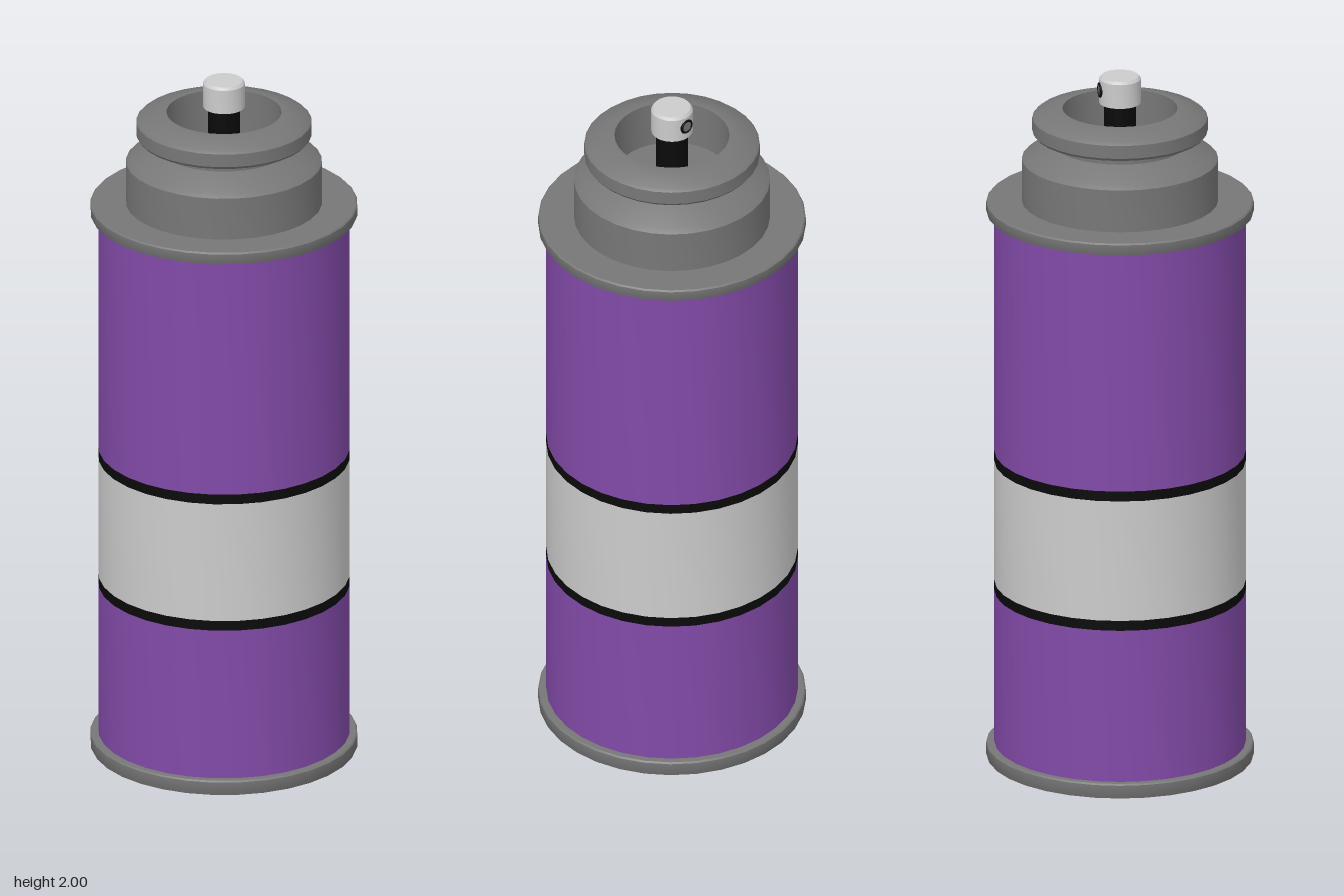
import * as THREE from 'three';
import { toCreasedNormals } from 'three/addons/utils/BufferGeometryUtils.js';

const SIDES = 32;
const BODY_R = 0.35;
const material = (color) => new THREE.MeshStandardMaterial({ color });

// Revolves [radius, height] pairs (bottom to top) with crisp rims and smooth walls
function turned(name, profile, mat) {
  const points = profile.map(([r, y]) => new THREE.Vector2(r, y));
  const geometry = toCreasedNormals(new THREE.LatheGeometry(points, SIDES), 0.6);
  const mesh = new THREE.Mesh(geometry, mat);
  mesh.name = name;
  return mesh;
}

export function createModel() {
  const can = new THREE.Group();
  can.name = 'sprayCan';
  const purple = material(0x824aa8);
  const black = material(0x0a0a0a);
  const metal = material(0x777777);
  const light = material(0xcccccc);

  // Painted body, stacked as open bands of equal radius
  const bands = [
    ['lowerBody', 0.03, 0.487, purple],
    ['lowerStripe', 0.487, 0.516, black],
    ['labelBand', 0.516, 0.868, light],
    ['upperStripe', 0.868, 0.897, black],
    ['upperBody', 0.897, 1.61, purple],
  ];
  for (const [name, y0, y1, mat] of bands) {
    can.add(turned(name, [[BODY_R, y0], [BODY_R, y1]], mat));
  }

  // Flat rims closing the bottom and the top of the body
  for (const [name, y0, y1] of [['bottomRim', 0, 0.042], ['topRim', 1.6, 1.634]]) {
    can.add(turned(name, [
      [0, y0], [0.37, y0], [0.372, y0 + 0.004],
      [0.372, y1 - 0.004], [0.368, y1], [0, y1],
    ], metal));
  }

  // Shoulder, neck, rolled collar and the recessed cup inside it
  can.add(turned('collar', [
    [0.273, 1.63], [0.273, 1.757], [0.258, 1.77], [0.187, 1.803],
    [0.187, 1.822], [0.238, 1.832], [0.244, 1.84], [0.244, 1.878],
    [0.235, 1.886], [0.175, 1.905], [0.16, 1.905], [0.16, 1.77], [0, 1.77],
  ], metal));

  // Valve stem and push button
  can.add(turned('valveStem', [[0.045, 1.765], [0.045, 1.93]], black));
  can.add(turned('sprayButton', [
    [0, 1.922], [0.058, 1.922], [0.058, 1.992], [0.052, 2], [0, 2],
  ], light));

  // Spray outlet on the side of the button
  const outlet = new THREE.Group();
  outlet.name = 'sprayOutlet';
  const ring = new THREE.Mesh(new THREE.TorusGeometry(0.018, 0.004, 8, 20), black);
  ring.name = 'outletRing';
  const hole = new THREE.Mesh(new THREE.CylinderGeometry(0.017, 0.017, 0.012, 20), metal);
  hole.name = 'outletHole';
  hole.rotation.x = Math.PI / 2;
  hole.position.z = -0.004;
  outlet.add(ring, hole);
  outlet.position.set(0.04, 1.962, -0.041);
  outlet.rotation.y = Math.PI * 0.75;
  can.add(outlet);

  return can;
}
